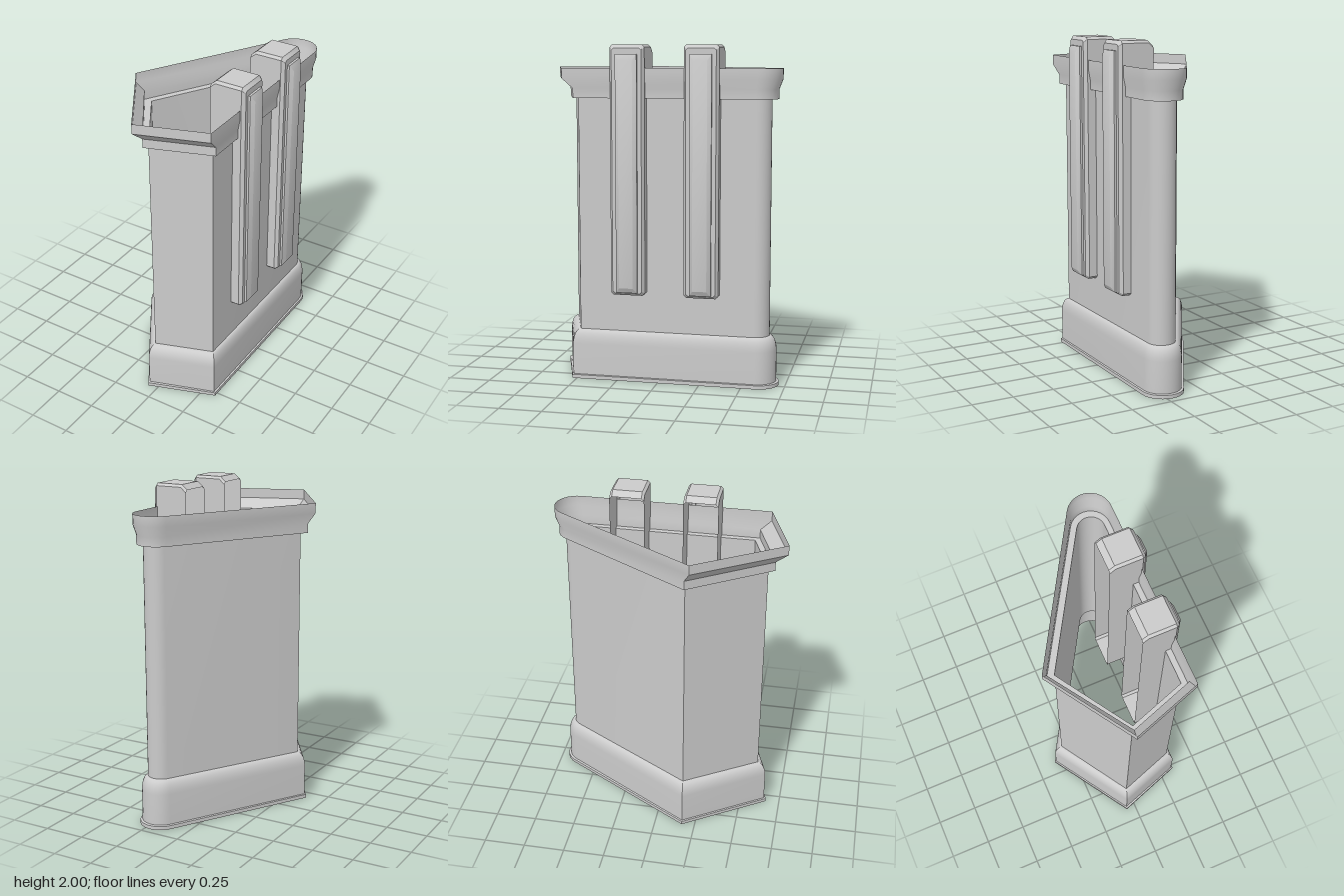
import * as THREE from 'three';
import { toCreasedNormals } from 'three/addons/utils/BufferGeometryUtils.js';

const material = new THREE.MeshStandardMaterial({ color: 0xcccccc, side: THREE.DoubleSide });

// Skin a list of closed rings; each ring is an array of [x, y, z].
function loft(rings, capEnd = false) {
  const n = rings[0].length;
  const index = [];
  for (let r = 0; r < rings.length - 1; r++) {
    for (let j = 0; j < n; j++) {
      const a = r * n + j, b = r * n + (j + 1) % n;
      index.push(a, b, b + n, a, b + n, a + n);
    }
  }
  if (capEnd) {
    const s = (rings.length - 1) * n;
    for (let j = 1; j < n - 1; j++) index.push(s, s + j, s + j + 1);
  }
  const geometry = new THREE.BufferGeometry();
  geometry.setAttribute('position', new THREE.Float32BufferAttribute(rings.flat(2), 3));
  geometry.setIndex(index);
  return toCreasedNormals(geometry, THREE.MathUtils.degToRad(32));
}

function addMesh(parent, name, geometry) {
  const mesh = new THREE.Mesh(geometry, material);
  mesh.name = name;
  parent.add(mesh);
  return mesh;
}

// Plan outline: three sharp corners and one rounded tip at the back.
function outline(a, b, c, tipZ, tipR) {
  const points = [a, b, c];
  const steps = 12, sweep = THREE.MathUtils.degToRad(149.4);
  for (let i = 0; i <= steps; i++) {
    const t = sweep * i / steps;
    points.push([0.215 + tipR * Math.cos(t), tipZ - tipR * Math.sin(t)]);
  }
  return points;
}

const wall = outline([-0.32, 0.165], [-0.043, 0.60], [0.298, 0.483], -0.57, 0.083);
const collar = outline([-0.367, 0.167], [-0.054, 0.64], [0.332, 0.507], -0.575, 0.117);
const rim = outline([-0.40, 0.20], [-0.07, 0.712], [0.343, 0.572], -0.585, 0.13);
const foot = outline([-0.37, 0.17], [-0.058, 0.652], [0.33, 0.522], -0.58, 0.115);
const lip = outline([-0.38, 0.17], [-0.06, 0.665], [0.34, 0.527], -0.585, 0.125);

const at = (points, y) => points.map(([x, z]) => [x, y, z]);
const mix = (p, q, t) => p.map(([x, z], i) => [x + (q[i][0] - x) * t, z + (q[i][1] - z) * t]);

// Chamfered rectangle in the y-z plane at a given x.
function panelRing(x, y0, y1, half, cut) {
  return [
    [x, y0, half - cut], [x, y0, -half + cut], [x, y0 + cut, -half], [x, y1 - cut, -half],
    [x, y1, -half + cut], [x, y1, half - cut], [x, y1 - cut, half], [x, y0 + cut, half],
  ].reverse();
}

function createRib(z) {
  const rib = new THREE.Group();
  rib.name = 'rib';
  // Channel, open towards the inside of the shell
  addMesh(rib, 'ribChannel', loft([
    panelRing(0.15, 0.53, 1.97, 0.103, 0.015),
    panelRing(0.185, 0.53, 2.0, 0.103, 0.015),
    panelRing(0.35, 0.53, 2.0, 0.103, 0.015),
    panelRing(0.37, 0.545, 1.98, 0.088, 0.012),
  ], true));
  // Raised strip with bevelled edges
  addMesh(rib, 'ribStrip', loft([
    panelRing(0.365, 0.55, 1.945, 0.064, 0.001),
    panelRing(0.383, 0.55, 1.945, 0.064, 0.001),
    panelRing(0.402, 0.58, 1.91, 0.042, 0.001),
  ], true));
  rib.position.z = z;
  return rib;
}

export function createModel() {
  const model = new THREE.Group();
  model.name = 'hollowPillar';

  // Base: bottom lip, upright foot and rounded shoulder
  const base = [at(lip, 0), at(lip, 0.022), at(foot, 0.025), at(foot, 0.215)];
  for (let i = 1; i <= 6; i++) {
    const t = i / 6 * Math.PI / 2;
    base.push(at(mix(wall, foot, Math.cos(t)), 0.215 + 0.085 * Math.sin(t)));
  }
  addMesh(model, 'base', loft(base));

  // Tall hollow wall
  addMesh(model, 'wall', loft([at(wall, 0.30), at(wall, 1.69)]));

  // Collar flaring out to the open rim
  addMesh(model, 'rim', loft([
    at(wall, 1.69), at(collar, 1.69), at(collar, 1.745), at(rim, 1.805), at(rim, 1.865),
  ]));

  // Two vertical ribs on the flat side
  for (const z of [0.174, -0.264]) model.add(createRib(z));
  return model;
}
